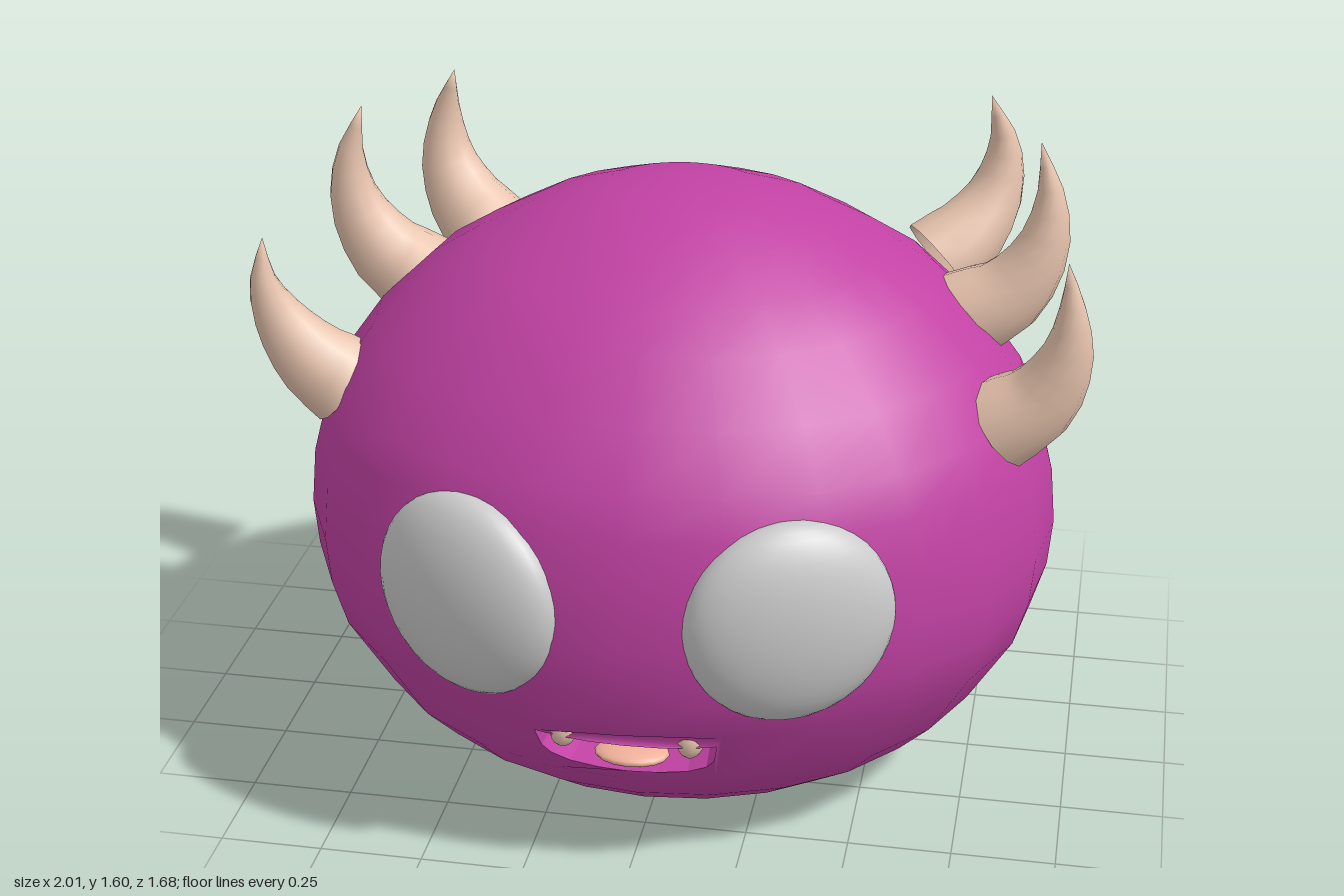
import * as THREE from 'three';
import { mergeVertices } from 'three/addons/utils/BufferGeometryUtils.js';

const SEG = 24;
const STEP = (Math.PI * 2) / SEG;
// body profile: radius, height
const PROFILE = [
  [0, 0], [0.18, 0.003], [0.42, 0.03], [0.58, 0.08], [0.69, 0.155], [0.775, 0.24],
  [0.885, 0.42], [0.92, 0.54], [0.93, 0.66], [0.917, 0.8], [0.885, 0.92], [0.845, 1.01],
  [0.755, 1.135], [0.62, 1.265], [0.5, 1.34], [0.36, 1.415], [0.19, 1.473], [0, 1.495],
];
const MOUTH_ROW = 5; // the profile band that holds the mouth
// mouth outline: x, y, counter-clockwise
const MOUTH = [
  [0.215, 0.388], [0.16, 0.382], [0.08, 0.38], [0, 0.38], [-0.08, 0.38], [-0.16, 0.382], [-0.215, 0.388],
  [-0.205, 0.33], [-0.185, 0.305], [-0.14, 0.287], [-0.07, 0.278], [0, 0.275],
  [0.07, 0.278], [0.14, 0.287], [0.185, 0.305], [0.205, 0.33],
];

const mat = (color, side = THREE.FrontSide) =>
  new THREE.MeshStandardMaterial({ color, side });

function radiusAt(y) {
  let i = 0;
  while (i < PROFILE.length - 2 && y > PROFILE[i + 1][1]) i++;
  const [r0, y0] = PROFILE[i], [r1, y1] = PROFILE[i + 1];
  return r0 + ((r1 - r0) * (y - y0)) / (y1 - y0);
}

// point on the body; angle 0 faces the front
function skin(angle, y) {
  const r = radiusAt(y);
  return [r * Math.sin(angle), y, r * Math.cos(angle) * 0.892 - 0.01];
}
const angleAt = (x, y) => Math.asin(x / radiusAt(y));

function fromTriangles(pos) {
  const g = new THREE.BufferGeometry();
  g.setAttribute('position', new THREE.Float32BufferAttribute(pos, 3));
  const merged = mergeVertices(g);
  merged.computeVertexNormals();
  return merged;
}

function bodyGeometry() {
  const pos = [];
  for (let j = 0; j < PROFILE.length - 1; j++) {
    const y0 = PROFILE[j][1], y1 = PROFILE[j + 1][1];
    for (let i = -1; i < SEG - 1; i++) {
      if (j === MOUTH_ROW && i < 1) continue;
      const a = skin(i * STEP, y0), b = skin((i + 1) * STEP, y0);
      const c = skin((i + 1) * STEP, y1), d = skin(i * STEP, y1);
      if (j > 0) pos.push(...a, ...b, ...c);
      if (j < PROFILE.length - 2) pos.push(...a, ...c, ...d);
      if (j === 0) pos.push(...a, ...c, ...d);
      if (j === PROFILE.length - 2) pos.push(...a, ...b, ...d);
    }
  }
  // front patch with the mouth opening, drawn flat and wrapped onto the body
  const y0 = PROFILE[MOUTH_ROW][1], y1 = PROFILE[MOUTH_ROW + 1][1];
  const shape = new THREE.Shape([
    [-STEP, y0], [0, y0], [STEP, y0], [STEP, y1], [0, y1], [-STEP, y1],
  ].map(([a, y]) => new THREE.Vector2(a, y)));
  shape.holes.push(new THREE.Path(MOUTH.map(([x, y]) => new THREE.Vector2(angleAt(x, y), y))));
  const flat = new THREE.ShapeGeometry(shape).toNonIndexed().attributes.position;
  for (let i = 0; i < flat.count; i++) pos.push(...skin(flat.getX(i), flat.getY(i)));
  return fromTriangles(pos);
}

// mouth cavity: walls running back from the opening, closed by a back wall
function cavityGeometry() {
  const pos = [];
  const front = MOUTH.map(([x, y]) => skin(angleAt(x, y), y));
  const back = front.map(([x, y]) => [x * 0.95, y, 0.58]);
  const centre = [0, 0.335, 0.56];
  front.forEach((p, i) => {
    const k = (i + 1) % front.length;
    pos.push(...p, ...back[i], ...back[k], ...p, ...back[k], ...front[k]);
    pos.push(...back[i], ...centre, ...back[k]);
  });
  return fromTriangles(pos).toNonIndexed();
}

// curved horn: a tube tapered along its path
function hornGeometry(points) {
  const rings = 9, sides = 12;
  const curve = new THREE.CatmullRomCurve3(points.map((p) => new THREE.Vector3(...p)));
  const tube = new THREE.TubeGeometry(curve, rings, 1, sides);
  const p = tube.attributes.position, v = new THREE.Vector3();
  for (let i = 0; i < p.count; i++) {
    const t = Math.floor(i / (sides + 1)) / rings;
    const c = curve.getPointAt(t);
    const r = 0.113 * (1 - Math.pow(t, 1.25));
    v.fromBufferAttribute(p, i).sub(c).multiplyScalar(r).add(c);
    p.setXYZ(i, v.x, v.y, v.z);
  }
  tube.deleteAttribute('uv');
  tube.deleteAttribute('normal');
  const g = mergeVertices(tube);
  g.computeVertexNormals();
  return g;
}

const HORNS = {
  leftFrontHorn: [[0.79, 1.0, 0.18], [0.88, 1.07, 0.19], [0.94, 1.2, 0.21], [0.945, 1.32, 0.22], [0.93, 1.43, 0.22]],
  leftMiddleHorn: [[0.68, 1.15, -0.11], [0.78, 1.21, -0.11], [0.855, 1.33, -0.11], [0.87, 1.46, -0.11], [0.84, 1.6, -0.11]],
  leftRearHorn: [[0.59, 1.18, -0.39], [0.66, 1.24, -0.43], [0.72, 1.34, -0.47], [0.735, 1.46, -0.475], [0.7, 1.6, -0.44]],
  rightFrontHorn: [[-0.8, 0.98, 0.18], [-0.88, 1.05, 0.2], [-0.95, 1.16, 0.22], [-0.975, 1.26, 0.24], [-0.97, 1.37, 0.24]],
  rightMiddleHorn: [[-0.68, 1.15, -0.12], [-0.77, 1.21, -0.12], [-0.84, 1.33, -0.11], [-0.85, 1.46, -0.1], [-0.81, 1.6, -0.09]],
  rightRearHorn: [[-0.58, 1.18, -0.4], [-0.64, 1.24, -0.42], [-0.69, 1.34, -0.44], [-0.695, 1.46, -0.44], [-0.66, 1.6, -0.41]],
};

export function createModel() {
  const model = new THREE.Group();
  const add = (name, geometry, material) => {
    const mesh = new THREE.Mesh(geometry, material);
    mesh.name = name;
    model.add(mesh);
    return mesh;
  };
  const purple = 0xc242a4;
  const hornMat = mat(0xe8c4ae, THREE.DoubleSide);

  add('body', bodyGeometry(), mat(purple));
  add('mouthCavity', cavityGeometry(), mat(purple, THREE.DoubleSide)).geometry.computeVertexNormals();

  // tongue lying on the mouth floor
  const tongue = add('tongue', new THREE.SphereGeometry(1, 16, 10), mat(0xf0b09a));
  tongue.scale.set(0.09, 0.02, 0.06);
  tongue.position.set(0, 0.3, 0.655);

  const toothGeo = new THREE.SphereGeometry(1, 10, 8);
  const eyeGeo = new THREE.SphereGeometry(1, 32, 20);
  for (const [side, s] of [['left', 1], ['right', -1]]) {
    // eyes lie flat against the curve of the face
    const eye = add(side + 'Eye', eyeGeo, mat(0xcccccc));
    eye.scale.set(0.25, 0.25, 0.105);
    eye.position.set(s * 0.372, 0.712, 0.695);
    eye.rotation.y = s * 0.43;

    // small teeth hanging from the upper lip
    const tooth = add(side + 'Tooth', toothGeo, hornMat);
    tooth.scale.set(0.032, 0.04, 0.025);
    tooth.position.set(s * 0.15, 0.385, 0.725);
  }

  for (const [name, points] of Object.entries(HORNS)) add(name, hornGeometry(points), hornMat);
  return model;
}
